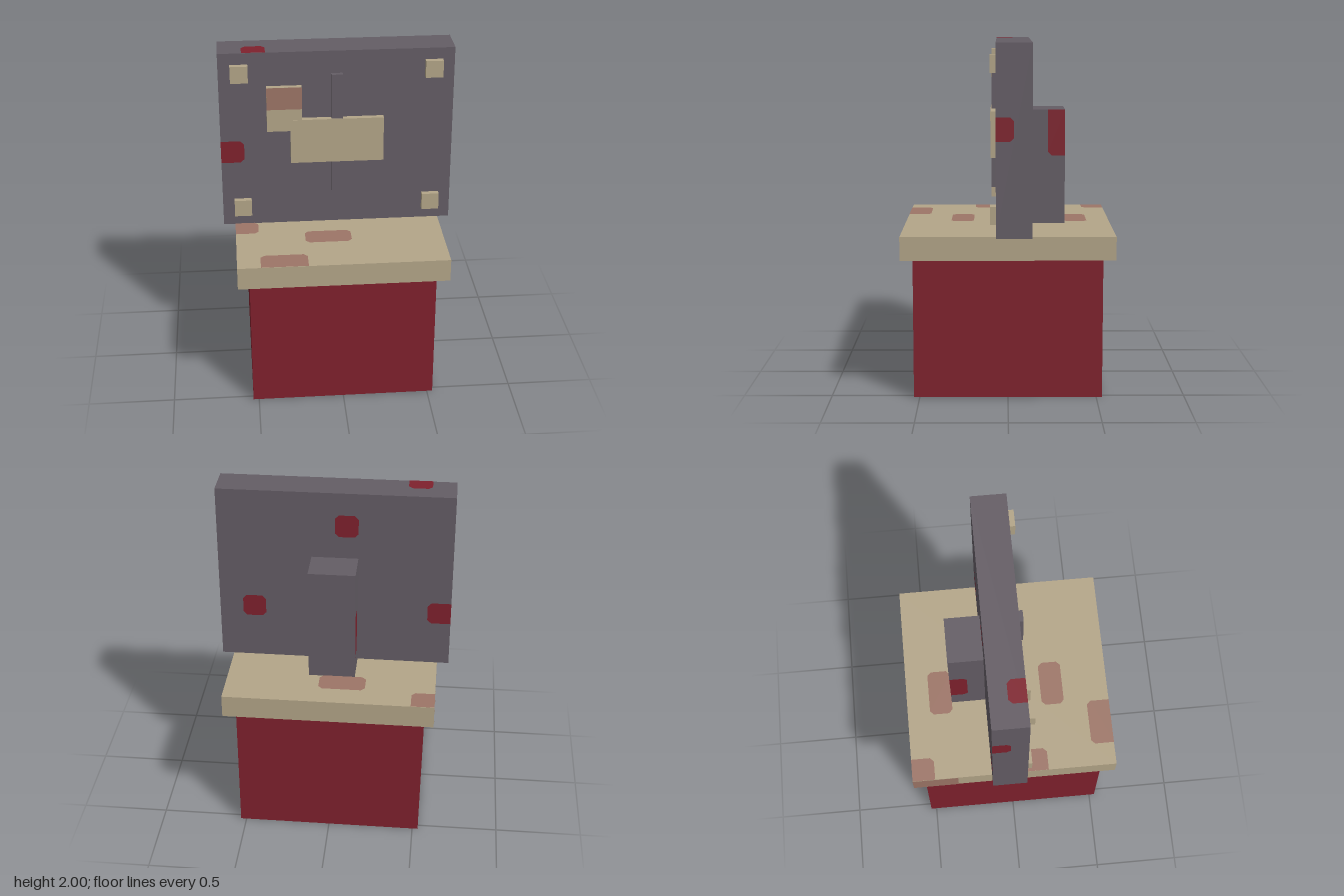
import * as THREE from 'three';

const mat = (name, color) => {
  const m = new THREE.MeshStandardMaterial({ color });
  m.name = name;
  return m;
};

export function createModel() {
  const red = mat('deep red', 0x7f212d);
  const tan = mat('sand', 0xb3a588);
  const grey = mat('slate', 0x645d65);
  const pink = mat('faded red', 0x9d7567);
  const group = new THREE.Group();
  const H = Math.PI / 2;

  // Box from its bounds
  const box = (name, material, x0, x1, y0, y1, z0, z1) => {
    const mesh = new THREE.Mesh(new THREE.BoxGeometry(x1 - x0, y1 - y0, z1 - z0), material);
    mesh.position.set((x0 + x1) / 2, (y0 + y1) / 2, (z0 + z1) / 2);
    mesh.name = name;
    group.add(mesh);
  };

  // Flat patch on a face; corners away from the face's bounds are bevelled
  const turns = {
    front: [0, 0], back: [0, 2 * H], left: [0, H], right: [0, -H], top: [-H, 0], bottom: [H, 0],
  };
  const patch = (name, material, face, dist, bounds, [u0, u1, v0, v1]) => {
    const near = (a, b) => Math.abs(a - b) < 0.005;
    const onEdge = (u, v) => near(u, bounds[0]) || near(u, bounds[1]) || near(v, bounds[2]) || near(v, bounds[3]);
    const c = 0.022;
    const points = [];
    [[u0, v0, 1, 1], [u1, v0, -1, 1], [u1, v1, -1, -1], [u0, v1, 1, -1]].forEach(([u, v, su, sv], i) => {
      if (onEdge(u, v)) return points.push(new THREE.Vector2(u, v));
      const a = new THREE.Vector2(u + su * c, v);
      const b = new THREE.Vector2(u, v + sv * c);
      points.push(...(i % 2 ? [a, b] : [b, a]));
    });
    const geometry = new THREE.ShapeGeometry(new THREE.Shape(points));
    geometry.translate(0, 0, dist + 0.002);
    geometry.rotateX(turns[face][0]).rotateY(turns[face][1]);
    const mesh = new THREE.Mesh(geometry, material);
    mesh.name = name;
    group.add(mesh);
  };

  // Pedestal, slab, upright panel and rear post
  box('pedestal', red, -0.533, 0.533, 0, 0.8, -0.533, 0.533);
  box('slab', tan, -0.6, 0.6, 0.8, 0.933, -0.6, 0.6);
  box('panel', grey, -0.667, 0.667, 0.933, 2, -0.133, 0.067);
  box('rearPost', grey, -0.133, 0.133, 0.933, 1.6, -0.333, -0.133);

  // Square studs in the panel corners
  for (const x of [-0.55, 0.55])
    for (const y of [1.05, 1.883])
      box('cornerStud', tan, x - 0.05, x + 0.05, y - 0.05, y + 0.05, 0.067, 0.1);

  // Emblem: body plate, raised end plate and upright rod
  box('emblemRod', grey, -0.033, 0.033, 1.133, 1.867, 0.067, 0.095);
  box('emblemBody', tan, -0.267, 0.267, 1.333, 1.6, 0.067, 0.1);
  box('emblemHead', tan, -0.4, -0.2, 1.533, 1.8, 0.067, 0.098);
  patch('emblemHeadStain', pink, 'front', 0.098, [-0.4, -0.2, 1.667, 1.8], [-0.4, -0.2, 1.667, 1.8]);

  // Panel stains
  const wide = [-0.667, 0.667, 0.933, 2];
  const stain = (...args) => patch('panelStain', red, ...args);
  stain('front', 0.067, wide, [-0.667, -0.533, 1.333, 1.467]);
  stain('back', 0.133, wide, [0, 0.133, 1.733, 1.867]);
  stain('back', 0.133, wide, [-0.533, -0.4, 1.2, 1.333]);
  stain('back', 0.133, wide, [0.533, 0.667, 1.2, 1.333]);
  stain('left', 0.667, [-0.067, 0.133, 0.933, 2], [-0.067, 0.033, 1.467, 1.6]);
  stain('right', 0.667, [-0.133, 0.067, 0.933, 2], [-0.133, -0.033, 1.6, 1.733]);
  stain('top', 2, [-0.667, 0.667, -0.067, 0.133], [-0.533, -0.4, -0.067, 0.033]);
  stain('bottom', -0.933, [-0.667, 0.667, -0.133, 0.067], [0.533, 0.667, -0.133, -0.033]);

  // Post stains
  patch('postStain', red, 'left', 0.133, [0.133, 0.333, 0.933, 1.6], [0.233, 0.333, 1.333, 1.6]);
  patch('postStain', red, 'right', 0.133, [-0.333, -0.133, 0.933, 1.6], [-0.333, -0.233, 1.067, 1.333]);

  // Slab stains
  const slabTop = [-0.6, 0.6, -0.6, 0.6];
  for (const r of [
    [-0.6, -0.467, 0.467, 0.6], [-0.2, 0.067, 0.333, 0.467], [-0.6, -0.467, -0.2, -0.067],
    [-0.2, 0.067, -0.333, -0.2], [-0.467, -0.2, -0.6, -0.467],
  ]) patch('slabStain', pink, 'top', 0.933, slabTop, r);
  patch('slabStain', pink, 'right', 0.6, [-0.6, 0.6, 0.8, 0.933], [-0.6, -0.333, 0.8, 0.933]);

  return group;
}
